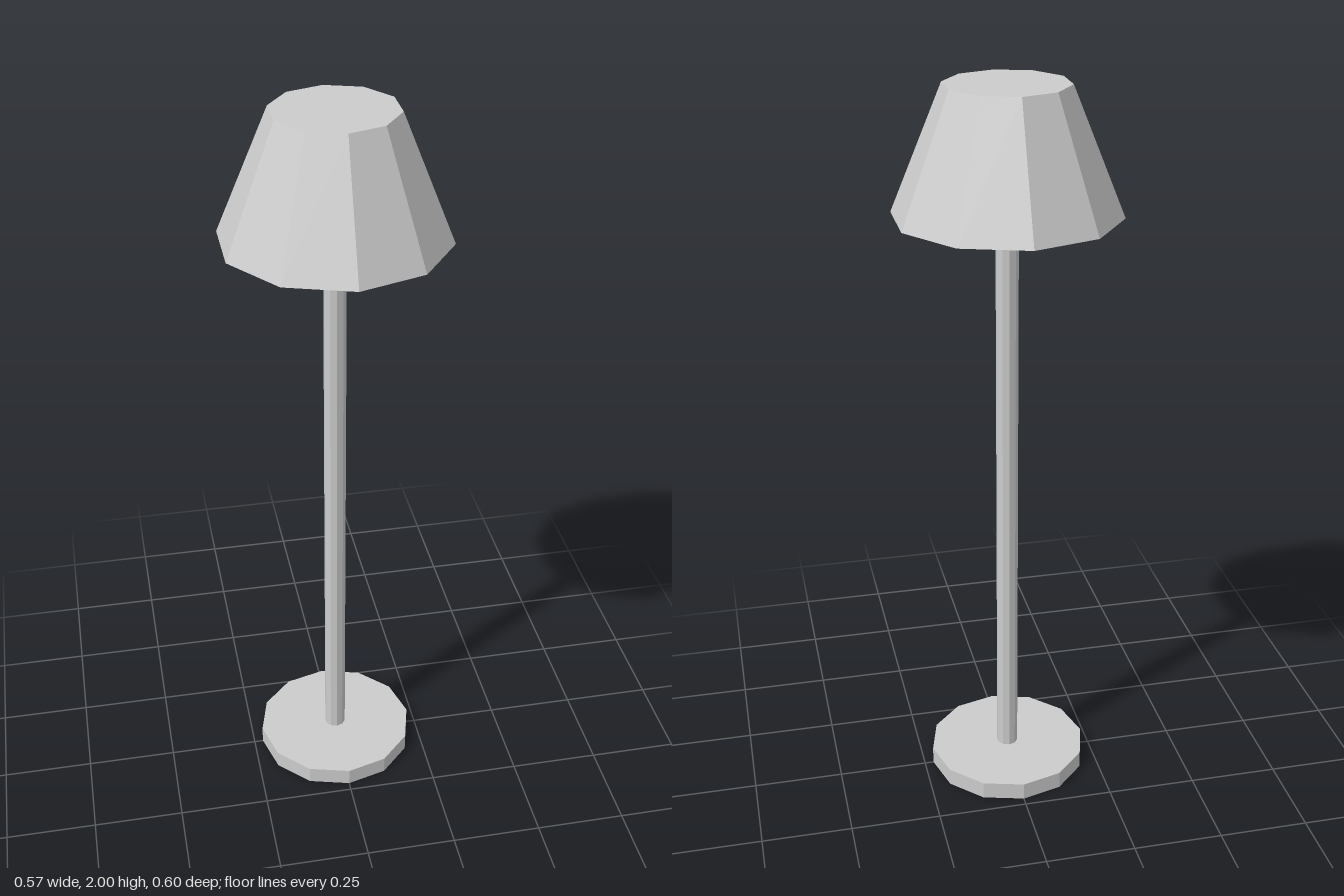
import * as THREE from 'three';

export function createModel() {
  const model = new THREE.Group();
  model.name = 'floorLamp';

  const lightGrey = new THREE.MeshStandardMaterial({ color: 0xcccccc, flatShading: true });
  lightGrey.name = 'lightGrey';

  // Faceted round part spanning from y0 to y1
  const addRound = (name, topRadius, bottomRadius, y0, y1, sides) => {
    const geometry = new THREE.CylinderGeometry(topRadius, bottomRadius, y1 - y0, sides);
    const mesh = new THREE.Mesh(geometry, lightGrey);
    mesh.name = name;
    mesh.position.y = (y0 + y1) / 2;
    model.add(mesh);
  };

  addRound('base', 0.225, 0.225, 0, 0.05, 12);
  addRound('pole', 0.03, 0.03, 0.05, 1.667, 10);
  addRound('shade', 0.163, 0.3, 1.667, 2, 10);

  return model;
}
